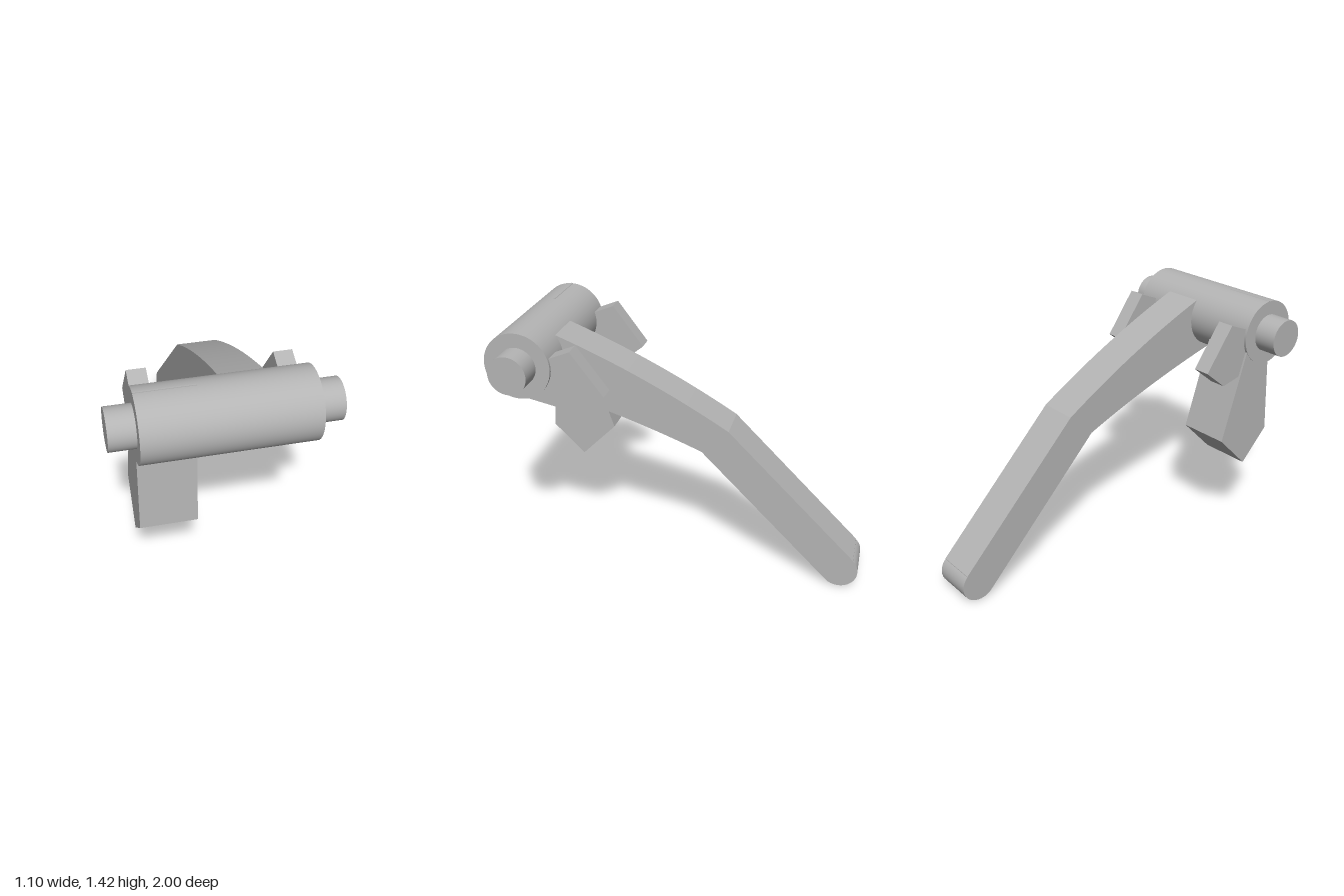
import * as THREE from 'three';

export function createModel() {
  const group = new THREE.Group();
  const steel = new THREE.MeshStandardMaterial({ color: 0xb4b4b4 });
  steel.name = 'grey steel';
  const axisY = 1.235, axisZ = 0.819;

  function add(name, geometry) {
    const mesh = new THREE.Mesh(geometry, steel);
    mesh.name = name;
    group.add(mesh);
  }

  // Cylinder on the pivot axis, between two x positions
  function axial(name, radius, x0, x1) {
    const g = new THREE.CylinderGeometry(radius, radius, x1 - x0, 72);
    g.rotateZ(Math.PI / 2);
    g.translate((x0 + x1) / 2, axisY, axisZ);
    add(name, g);
  }

  // Side profile drawn as (z, y), extruded between two x positions
  function plate(name, shape, x0, x1) {
    const g = new THREE.ExtrudeGeometry(shape, { depth: x1 - x0, bevelEnabled: false, curveSegments: 32 });
    g.rotateY(-Math.PI / 2);
    g.translate(x1, 0, 0);
    add(name, g);
  }
  const polygon = (points) => new THREE.Shape(points.map(([z, y]) => new THREE.Vector2(z, y)));

  // Pivot barrel and its end pins
  axial('barrel', 0.181, -0.42, 0.418);
  axial('rightPin', 0.104, -0.55, -0.42);
  axial('leftPin', 0.104, 0.418, 0.546);

  // Bent lever arm with a rounded tip
  const arm = new THREE.Shape();
  arm.moveTo(0.91, 1.071);
  arm.lineTo(0.82, 1.235);
  arm.lineTo(0.68, 1.348);
  arm.quadraticCurveTo(0.19, 1.165, -0.26, 0.888);
  arm.lineTo(-0.97, 0.178);
  arm.absarc(-0.899, 0.103, 0.101, Math.PI * 0.75, Math.PI * 1.75, false);
  arm.lineTo(-0.115, 0.75);
  arm.quadraticCurveTo(0.34, 0.938, 0.91, 1.071);
  plate('leverArm', arm, 0, 0.222);

  // Pointed hanging leg, just breaking through the top of the barrel
  plate('hangingLeg', polygon([
    [0.819, 1.419], [0.868, 0.627], [0.694, 0.453], [0.495, 0.653], [0.66, 1.16], [0.811, 1.419],
  ]), -0.418, -0.131);

  // Pair of angled lugs
  const lug = polygon([
    [0.80, 1.058], [0.495, 0.994], [0.36, 1.103], [0.533, 1.336], [0.645, 1.29], [0.80, 1.235],
  ]);
  plate('leftLug', lug, 0.308, 0.403);
  plate('rightLug', lug, -0.406, -0.311);

  return group;
}
